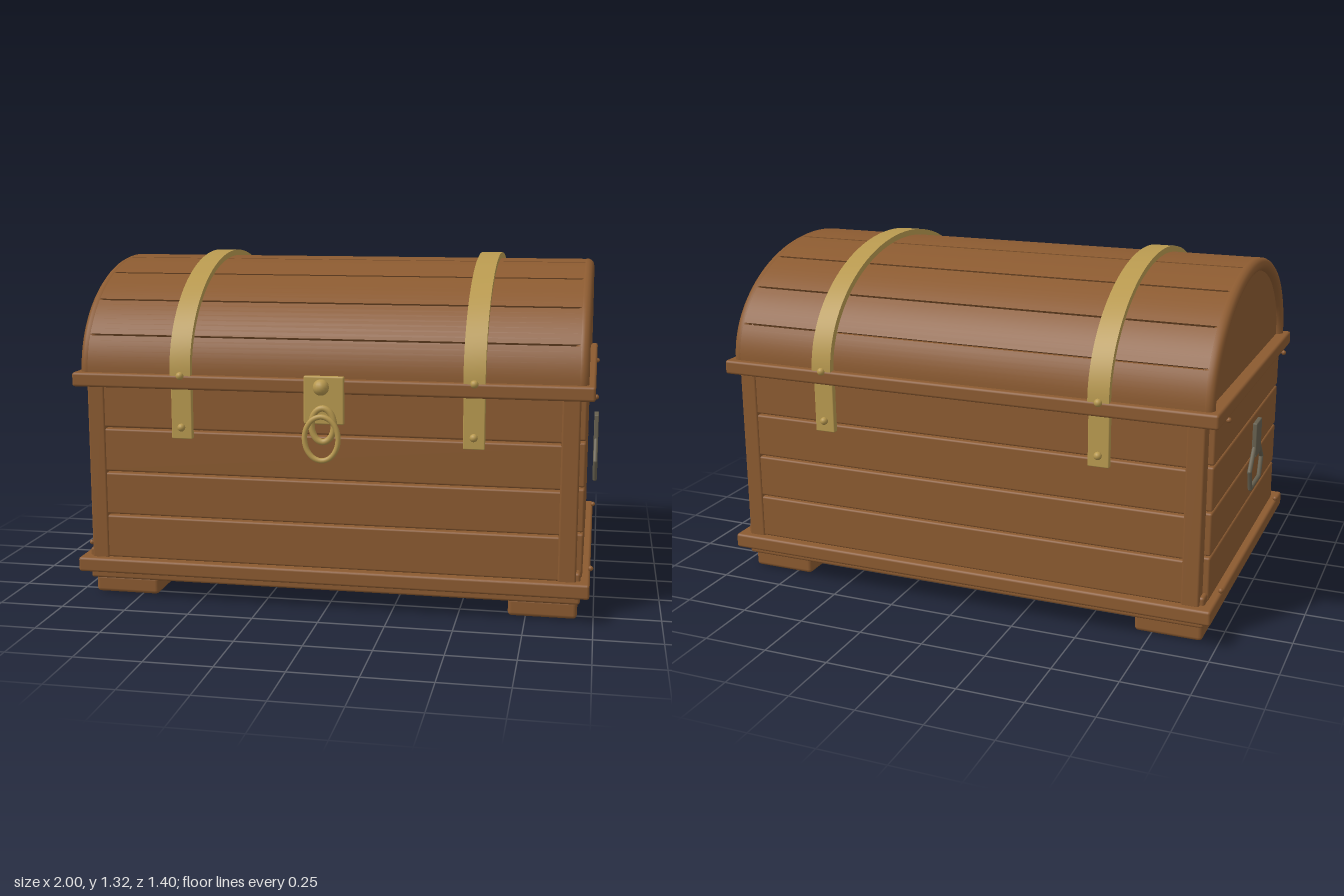
import * as THREE from 'three';
import { RoundedBoxGeometry } from 'three/addons/geometries/RoundedBoxGeometry.js';
import { toCreasedNormals } from 'three/addons/utils/BufferGeometryUtils.js';

const ZC = -0.034; // depth centre of the wooden body
const LID_Y = 0.885; // height where the lid arch springs

export function createModel() {
  const group = new THREE.Group();
  const wood = new THREE.MeshStandardMaterial({ color: 0x8b5a30 });
  wood.name = 'wood';
  const brass = new THREE.MeshStandardMaterial({ color: 0xb8994f });
  brass.name = 'brass';
  const iron = new THREE.MeshStandardMaterial({ color: 0x66604f });
  iron.name = 'iron';

  const add = (name, geometry, material, x = 0, y = 0, z = 0) => {
    const mesh = new THREE.Mesh(geometry, material);
    mesh.name = name;
    mesh.position.set(x, y, z);
    group.add(mesh);
    return mesh;
  };

  // Rounded block given by its centre in x and z and its height range
  const block = (name, material, w, y0, y1, d, x, z, r = 0.01) =>
    add(name, new RoundedBoxGeometry(w, y1 - y0, d, 2, r), material, x, (y0 + y1) / 2, z);

  const rivet = (name, material, r, x, y, z) =>
    add(name, new THREE.SphereGeometry(r, 16, 12), material, x, y, z);

  // Sector of an elliptical arch, extruded across x; angles in degrees
  const arch = (name, material, from, to, outer, inner, width, x) => {
    const pts = [];
    const steps = Math.ceil((to - from) / 3);
    const point = (i, [a, b]) => {
      const t = THREE.MathUtils.degToRad(from + ((to - from) * i) / steps);
      return new THREE.Vector2(a * Math.cos(t), b * Math.sin(t));
    };
    for (let i = 0; i <= steps; i++) pts.push(point(i, outer));
    if (inner) for (let i = steps; i >= 0; i--) pts.push(point(i, inner));
    const geo = new THREE.ExtrudeGeometry(new THREE.Shape(pts), { depth: width, bevelEnabled: false });
    geo.translate(0, 0, -width / 2).rotateY(Math.PI / 2);
    return add(name, toCreasedNormals(geo, 0.5), material, x, LID_Y, ZC);
  };

  // Base, plinth and rim
  block('baseSlab', wood, 1.9, 0.065, 0.187, 1.212, 0, ZC);
  block('plinth', wood, 1.968, 0.1, 0.157, 1.301, 0, ZC);
  block('rim', wood, 1.968, 0.832, 0.887, 1.301, 0, ZC);

  // Feet and corner posts
  for (const sx of [-1, 1]) for (const sz of [-1, 1]) {
    block('foot', wood, 0.256, 0.005, 0.075, 0.258, sx * 0.812, ZC + sz * 0.451, 0.015);
    block('cornerPost', wood, 0.067, 0.15, 0.84, 0.062, sx * 0.9, ZC + sz * 0.593, 0.008);
  }
  group.children.filter((m) => m.name === 'foot').forEach((m) => (m.position.y -= 0.005));

  // Wall planks with narrow gaps
  const seams = [0.154, 0.327, 0.497, 0.67, 0.84];
  for (let i = 0; i < 4; i++) {
    const y0 = seams[i] + 0.003;
    const y1 = seams[i + 1] - 0.003;
    for (const s of [-1, 1]) {
      block('longPlank', wood, 1.75, y0, y1, 0.04, 0, ZC + s * 0.599, 0.008);
      block('endPlank', wood, 0.04, y0, y1, 1.125, s * 0.935, ZC, 0.008);
    }
  }

  // Arched lid of nine planks
  for (let i = 0; i < 9; i++) {
    const from = i * 20 + (i ? 0.45 : 0);
    const to = (i + 1) * 20 - (i < 8 ? 0.45 : 0);
    arch('lidPlank', wood, from, to, [0.626, 0.414], [0.586, 0.374], 1.86, 0);
  }

  // Lid ends with a rounded trim
  class HalfEllipse extends THREE.Curve {
    getPoint(t, target = new THREE.Vector3()) {
      const a = Math.PI * t;
      return target.set(0, 0.389 * Math.sin(a), 0.601 * Math.cos(a));
    }
  }
  const trim = new THREE.TubeGeometry(new HalfEllipse(), 64, 0.026, 14);
  for (const s of [-1, 1]) {
    add('lidEndTrim', trim, wood, s * 0.934, LID_Y, ZC);
    arch('lidEndPanel', wood, 0, 180, [0.595, 0.383], null, 0.03, s * 0.92);
  }

  // Brass straps with rivets
  for (const x of [-0.553, 0.553]) {
    arch('lidStrap', brass, 0, 180, [0.651, 0.437], [0.62, 0.408], 0.08, x);
    for (const s of [-1, 1]) {
      block('bodyStrap', brass, 0.08, 0.642, 0.84, 0.025, x, ZC + s * 0.627, 0.004);
      rivet('strapRivet', brass, 0.015, x, LID_Y, ZC + s * 0.651);
      rivet('strapRivet', brass, 0.015, x, 0.687, ZC + s * 0.645);
    }
  }

  // Lock plate, knob, staple and ring
  block('lockPlate', brass, 0.152, 0.72, 0.9, 0.022, 0, 0.616, 0.006);
  rivet('lockKnob', brass, 0.03, 0, 0.866, 0.671);
  const loop = (name, rx, ry, tube, y, z) => {
    const pts = [];
    for (let i = 0; i < 12; i++) {
      const a = (i / 12) * Math.PI * 2;
      pts.push(new THREE.Vector3(rx * Math.cos(a), ry * Math.sin(a), 0));
    }
    const path = new THREE.CatmullRomCurve3(pts, true);
    return add(name, new THREE.TubeGeometry(path, 48, tube, 10, true), brass, 0, y, z);
  };
  loop('lockStaple', 0.042, 0.063, 0.012, 0.721, 0.642);
  loop('lockRing', 0.063, 0.082, 0.01, 0.675, 0.669);

  // Iron end handles and small wooden pegs
  const half = [[0.036, 0.583], [0.108, 0.503], [0.08, 0.426]];
  const corners = [...half, ...half.slice().reverse().map(([z, y]) => [-z, y])];
  const handlePath = new THREE.CurvePath();
  corners.forEach(([z, y], i) => {
    const [z2, y2] = corners[(i + 1) % corners.length];
    handlePath.add(new THREE.LineCurve3(new THREE.Vector3(0, y, z), new THREE.Vector3(0, y2, z2)));
  });
  for (const s of [-1, 1]) {
    block('handlePlate', iron, 0.018, 0.542, 0.68, 0.092, s * 0.989, ZC, 0.004);
    for (const bar of handlePath.curves) {
      add('handleBar', new THREE.TubeGeometry(bar, 1, 0.009, 10), iron, s * 0.989, 0, ZC);
      const end = bar.v1;
      rivet('handleJoint', iron, 0.009, s * 0.989, end.y, ZC + end.z);
    }
    for (const y of [0.828, 0.178]) for (const z of [-0.501, 0.501])
      rivet('peg', wood, 0.01, s * 0.985, y, ZC + z);
  }

  return group;
}
